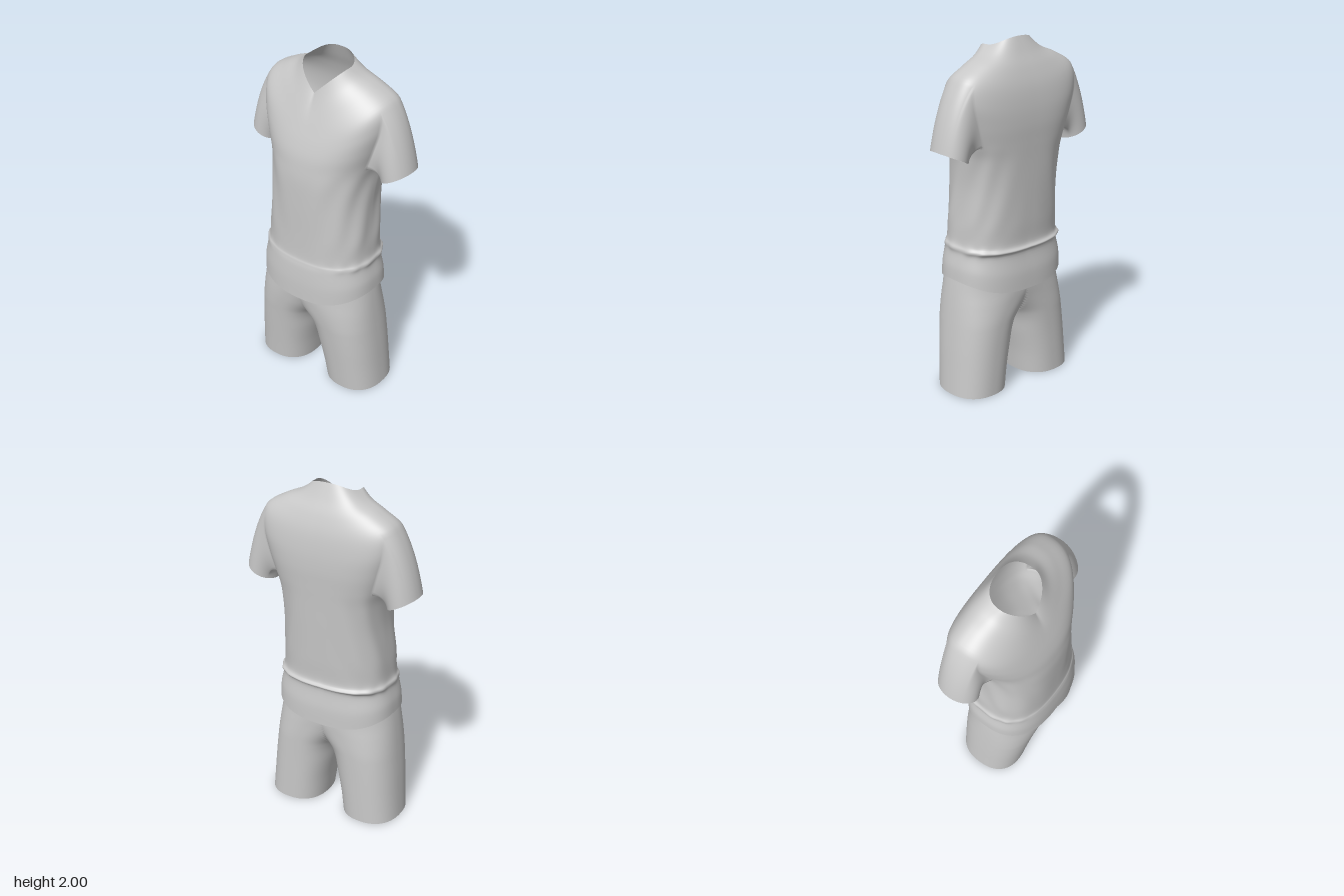
import * as THREE from 'three';
import { mergeVertices } from 'three/addons/utils/BufferGeometryUtils.js';

const SUB = 6;            // rows between two key sections
const COLS = 72;          // columns from centre back round the left side to centre front
const spow = (v, e) => (Math.abs(v) < 1e-6 ? 0 : Math.sign(v) * Math.pow(Math.abs(v), e));

// Smooth interpolation of the key sections
function sections(keys) {
  const rows = [];
  const at = (i) => keys[Math.min(Math.max(i, 0), keys.length - 1)];
  for (let i = 0; i < keys.length - 1; i++) {
    for (let s = 0; s < SUB; s++) {
      const t = s / SUB, [a, b, c, d] = [at(i - 1), at(i), at(i + 1), at(i + 2)];
      rows.push(b.map((p, k) => p + 0.5 * t * (c[k] - a[k]
        + t * (2 * a[k] - 5 * p + 4 * c[k] - d[k] + t * (3 * (p - c[k]) + d[k] - a[k])))));
    }
  }
  rows.push(keys[keys.length - 1]);
  return rows;
}

// Grid of points to triangles; skip(r, j) leaves a cell open
function addGrid(out, grid, skip = () => false) {
  const base = out.pos.length / 3, n = grid[0].length;
  grid.forEach((row) => row.forEach((p) => out.pos.push(...p)));
  for (let r = 0; r < grid.length - 1; r++) {
    for (let j = 0; j < n - 1; j++) {
      if (skip(r, j)) continue;
      const a = base + r * n + j, b = a + n;
      out.idx.push(a, b, a + 1, b, b + 1, a + 1);
    }
  }
}

// Mirror the left half and weld it into one smooth surface
function mirrored({ pos, idx }) {
  const n = pos.length / 3;
  const all = pos.concat(pos.map((v, i) => (i % 3 === 0 ? -v : v)));
  const tris = idx.slice();
  for (let i = 0; i < idx.length; i += 3) tris.push(idx[i] + n, idx[i + 2] + n, idx[i + 1] + n);
  let geo = new THREE.BufferGeometry();
  geo.setAttribute('position', new THREE.Float32BufferAttribute(all, 3));
  geo.setIndex(tris);
  geo = mergeVertices(geo, 1e-5);
  geo.computeVertexNormals();
  return geo;
}

function shirtGeometry() {
  // side y, front y, back y, half width, front z, back z, side z, front power, back power, neckline point
  const rows = sections([
    [0.67, 0.595, 0.6, 0.352, 0.258, -0.238, 0, 0.8, 0.75, 0],
    [0.74, 0.7, 0.7, 0.347, 0.257, -0.235, 0, 0.8, 0.75, 0],
    [0.815, 0.795, 0.815, 0.331, 0.25, -0.222, 0, 0.8, 0.75, 0],
    [0.85, 0.835, 0.845, 0.333, 0.243, -0.248, 0, 0.8, 0.75, 0],
    [0.885, 0.87, 0.875, 0.318, 0.236, -0.23, 0, 0.8, 0.75, 0],
    [1.0, 1.0, 1.0, 0.312, 0.235, -0.236, 0, 0.82, 0.75, 0],
    [1.2, 1.2, 1.2, 0.297, 0.237, -0.245, -0.01, 0.85, 0.72, 0],
    [1.36, 1.34, 1.35, 0.303, 0.236, -0.251, -0.04, 0.85, 0.7, 0],
    [1.46, 1.43, 1.45, 0.325, 0.228, -0.256, -0.07, 0.85, 0.68, 0],
    [1.58, 1.5, 1.55, 0.362, 0.217, -0.26, -0.08, 0.87, 0.66, 0],
    [1.71, 1.57, 1.65, 0.395, 0.197, -0.256, -0.085, 0.9, 0.66, 0],
    [1.81, 1.64, 1.75, 0.385, 0.172, -0.241, -0.085, 0.9, 0.7, 0],
    [1.875, 1.7, 1.84, 0.285, 0.148, -0.212, -0.08, 0.92, 0.72, 0.2],
    [1.915, 1.76, 1.92, 0.195, 0.12, -0.175, -0.06, 0.95, 0.75, 0.6],
    [1.957, 1.82, 2.0, 0.137, 0.09, -0.14, -0.025, 1, 0.8, 1],
  ]);
  const grid = rows.map(([ys, yf, yb, w, zf, zb, zs, ef, eb, v]) => {
    const row = [];
    for (let j = 0; j <= COLS; j++) {
      const a = (j / COLS - 0.5) * Math.PI, s = Math.sin(a), c = Math.cos(a), front = s > 0;
      const e = front ? ef : eb;
      const k = front ? THREE.MathUtils.lerp(s * s, 1 - c, v) : s * s;
      const y = ys + ((front ? yf : yb) - ys) * k;
      // Soft drapery folds on the flanks and a ripple in the gathered waist
      const mask = THREE.MathUtils.smoothstep(y, 0.88, 1.05) * (1 - THREE.MathUtils.smoothstep(y, 1.3, 1.5));
      const gather = Math.exp(-(((y - 0.85) / 0.025) ** 2));
      const f = 1 + c * (0.013 * mask * Math.sin(10 * a + 11 * y) + 0.008 * gather * Math.sin(17 * a));
      row.push([w * spow(c, e) * f, y, zs + (front ? zf - zs : zs - zb) * spow(s, e) * f]);
    }
    return row;
  });

  // Body with an open armhole
  const r0 = 8 * SUB, r1 = 11 * SUB, j0 = 24, j1 = 44;
  const out = { pos: [], idx: [] };
  addGrid(out, grid, (r, j) => r >= r0 && r < r1 && j >= j0 && j < j1);

  // Sleeve swept from the armhole edge to its oval cuff
  const loop = [];
  for (let j = j0; j < j1; j++) loop.push(grid[r0][j]);
  for (let r = r0; r < r1; r++) loop.push(grid[r][j1]);
  for (let j = j1; j > j0; j--) loop.push(grid[r1][j]);
  for (let r = r1; r >= r0; r--) loop.push(grid[r][j0]);
  const curves = loop.map((p) => {
    const th = Math.atan2((p[1] - 1.63) / 0.18, (p[2] + 0.075) / 0.12);
    const start = new THREE.Vector3(...p);
    const end = new THREE.Vector3(0.435 + 0.085 * Math.sin(th), 1.41 + 0.042 * Math.sin(th), -0.078 + 0.118 * Math.cos(th));
    const ctrl = new THREE.Vector3(-0.2, 1, 0).multiplyScalar(0.6 * start.distanceTo(end)).add(end);
    return new THREE.QuadraticBezierCurve3(start, ctrl, end);
  });
  const sleeve = [];
  for (let i = 0; i <= 18; i++) sleeve.push(curves.map((c) => c.getPoint(i / 18).toArray()));
  addGrid(out, sleeve);
  return mirrored(out);
}

function shortsGeometry() {
  // y, leg centre x, inner x, outer x, front z, back z
  const rows = sections([
    [0, 0.24, 0.072, 0.412, 0.168, -0.205],
    [0.13, 0.225, 0.055, 0.402, 0.182, -0.205],
    [0.26, 0.208, 0.028, 0.392, 0.197, -0.205],
    [0.37, 0.185, 0.004, 0.382, 0.21, -0.206],
    [0.44, 0.16, -0.04, 0.375, 0.219, -0.207],
    [0.53, 0.1, -0.15, 0.365, 0.23, -0.208],
    [0.63, 0.01, -0.3, 0.352, 0.24, -0.212],
    [0.76, 0, -0.3, 0.332, 0.235, -0.21],
  ]);
  const grid = rows.map(([y, cx, xi, w, zf, zb]) => {
    const row = [];
    for (let j = 0; j <= 2 * COLS; j++) {
      const b = ((j % (2 * COLS)) / COLS - 0.5) * Math.PI, c = Math.cos(b);
      const x = cx + (c > 0 ? w - cx : cx - xi) * spow(c, 0.85);
      row.push([Math.max(0, x), y, (zf + zb) / 2 + ((zf - zb) / 2) * spow(Math.sin(b), 0.85)]);
    }
    return row;
  });
  // Above the crotch the two legs join, so the inner wall is left out
  const joined = (r, j) => [grid[r][j], grid[r][j + 1], grid[r + 1][j], grid[r + 1][j + 1]].every((p) => p[0] === 0);
  const out = { pos: [], idx: [] };
  addGrid(out, grid, joined);
  return mirrored(out);
}

export function createModel() {
  const model = new THREE.Group();
  model.name = 'sportsOutfit';
  const cloth = new THREE.MeshStandardMaterial({ color: 0xc8c8c8, side: THREE.DoubleSide });
  cloth.name = 'light grey cloth';
  for (const [name, geo] of [['shirt', shirtGeometry()], ['shorts', shortsGeometry()]]) {
    const mesh = new THREE.Mesh(geo, cloth);
    mesh.name = name;
    model.add(mesh);
  }
  return model;
}
